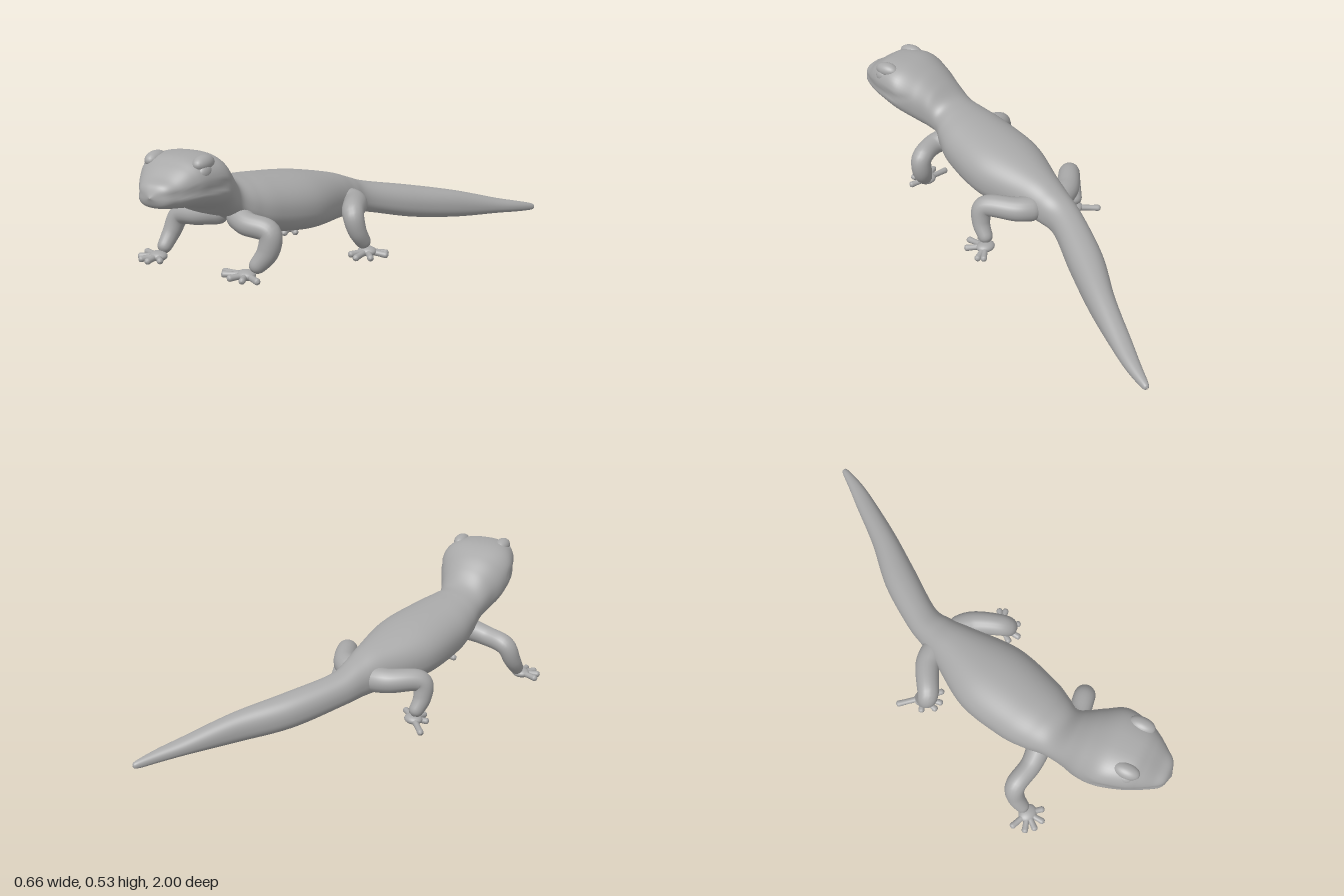
import * as THREE from 'three';
import { mergeVertices } from 'three/addons/utils/BufferGeometryUtils.js';

const skin = new THREE.MeshStandardMaterial({ color: 0xa8a8a8 });
skin.name = 'grey skin';

const V = (p) => new THREE.Vector3(...p);

function addMesh(parent, name, geometry) {
  const mesh = new THREE.Mesh(geometry, skin);
  mesh.name = name;
  parent.add(mesh);
  return mesh;
}

// Body sections from tail tip to nose: centre x, z, half width, top y, bottom y, yaw
const SECTIONS = [
  [0.265, -1, 0.002, 0.028, 0.026, -0.15],
  [0.262, -0.985, 0.014, 0.042, 0.014, -0.2],
  [0.243, -0.9, 0.028, 0.065, 0.018, -0.25],
  [0.213, -0.8, 0.039, 0.09, 0.025, -0.3],
  [0.147, -0.6, 0.053, 0.147, 0.033, -0.35],
  [0.065, -0.4, 0.07, 0.19, 0.055, -0.35],
  [0, -0.2, 0.068, 0.23, 0.1, -0.2],
  [-0.005, -0.1, 0.08, 0.265, 0.112, -0.05],
  [0, 0, 0.105, 0.3, 0.112, 0],
  [0.01, 0.2, 0.165, 0.345, 0.114, 0],
  [0.02, 0.4, 0.158, 0.37, 0.145, 0],
  [0.025, 0.5, 0.135, 0.38, 0.185, 0.05],
  [0.03, 0.57, 0.112, 0.395, 0.23, 0.15],
  [0.045, 0.63, 0.12, 0.45, 0.25, 0.3],
  [0.065, 0.69, 0.144, 0.495, 0.275, 0.37],
  [0.1, 0.76, 0.162, 0.526, 0.315, 0.37],
  [0.135, 0.85, 0.14, 0.526, 0.34, 0.37],
  [0.155, 0.9, 0.115, 0.502, 0.35, 0.37],
  [0.17, 0.945, 0.085, 0.468, 0.358, 0.37],
  [0.182, 0.98, 0.055, 0.446, 0.37, 0.37],
  [0.187, 0.998, 0.002, 0.407, 0.405, 0.37],
];

// Loft of rounded, flat-bellied rings with a mouth groove in the muzzle
function bodyGeometry(rows = 160, cols = 56) {
  const plan = new THREE.CatmullRomCurve3(SECTIONS.map((s) => V([s[0], s[1], s[2]])), false, 'catmullrom', 0.5);
  const side = new THREE.CatmullRomCurve3(SECTIONS.map((s) => V([s[3], s[4], s[5]])), false, 'catmullrom', 0.5);
  const soft = (v, e) => Math.sign(v) * Math.abs(v) ** e;
  const positions = [], index = [];
  for (let i = 0; i <= rows; i++) {
    const { x: cx, y: cz, z: half } = plan.getPoint(i / rows);
    const { x: top, y: bottom, z: yaw } = side.getPoint(i / rows);
    const mid = bottom + (top - bottom) * 0.46;
    const head = THREE.MathUtils.smoothstep(cz, 0.68, 0.8);
    for (let j = 0; j < cols; j++) {
      const a = (j / cols) * Math.PI * 2, s = Math.sin(a);
      const e = s < 0 ? 0.8 : 0.95 - 0.2 * head;
      const y = mid + soft(s, e) * (s > 0 ? top - mid : mid - bottom);
      const groove = 1 - 0.06 * head * Math.exp(-(((y - 0.415) / 0.011) ** 2));
      const w = soft(Math.cos(a), e) * Math.max(half, 0.001) * groove;
      positions.push(cx + w * Math.cos(yaw), y, cz - w * Math.sin(yaw));
      if (i < rows) {
        const k = (j + 1) % cols, p = i * cols, q = p + cols;
        index.push(p + j, p + k, q + j, p + k, q + k, q + j);
      }
    }
  }
  const g = new THREE.BufferGeometry();
  g.setAttribute('position', new THREE.Float32BufferAttribute(positions, 3));
  g.setIndex(index);
  g.computeVertexNormals();
  return g;
}

// Round-ended tube through points of [x, y, z, radius]
function limbGeometry(points, rows, cols) {
  const curve = new THREE.CatmullRomCurve3(points.map((p) => V(p.slice(0, 3))));
  const radii = new THREE.CatmullRomCurve3(points.map((p, i) => new THREE.Vector3(i, p[3], 0)));
  const length = curve.getLength();
  let g = new THREE.TubeGeometry(curve, rows, 1, cols, false);
  const pos = g.attributes.position, v = new THREE.Vector3();
  for (let i = 0; i <= rows; i++) {
    const u = i / rows, c = curve.getPointAt(u);
    const r = radii.getPoint(curve.getUtoTmapping(u)).y;
    const d = Math.min(1, (Math.min(u, 1 - u) * length) / r);
    const scale = r * Math.max(0.002, Math.sqrt(1 - (1 - d) ** 2));
    for (let j = 0; j <= cols; j++) {
      const n = i * (cols + 1) + j;
      v.fromBufferAttribute(pos, n).sub(c).multiplyScalar(scale).add(c);
      pos.setXYZ(n, v.x, v.y, v.z);
    }
  }
  g.deleteAttribute('uv');
  g.deleteAttribute('normal');
  g = mergeVertices(g, 1e-6);
  g.computeVertexNormals();
  return g;
}

function ellipsoid(parent, name, at, size, yaw = 0) {
  const mesh = addMesh(parent, name, new THREE.SphereGeometry(1, 24, 16));
  mesh.position.set(...at);
  mesh.scale.set(...size);
  mesh.rotation.y = yaw;
}

// Leg paths run from the body to the ankle; toes are tip positions
const LEGS = {
  frontRightLeg: {
    path: [[0, 0.24, 0.52, 0.055], [-0.12, 0.208, 0.57, 0.043], [-0.222, 0.185, 0.585, 0.041],
      [-0.242, 0.12, 0.61, 0.036], [-0.237, 0.045, 0.665, 0.026]],
    palm: [-0.238, 0.036, 0.68],
    toes: [[-0.33, 0.034, 0.675], [-0.305, 0.03, 0.73], [-0.265, 0.03, 0.755], [-0.215, 0.03, 0.755], [-0.175, 0.032, 0.715]],
  },
  frontLeftLeg: {
    path: [[0.05, 0.24, 0.52, 0.055], [0.15, 0.222, 0.55, 0.045], [0.238, 0.2, 0.515, 0.043],
      [0.237, 0.13, 0.52, 0.042], [0.195, 0.05, 0.565, 0.028]],
    palm: [0.18, 0.038, 0.58],
    toes: [[0.065, 0.03, 0.6], [0.105, 0.036, 0.64], [0.16, 0.034, 0.655], [0.225, 0.034, 0.64], [0.265, 0.03, 0.59]],
  },
  hindRightLeg: {
    path: [[-0.02, 0.18, -0.06, 0.055], [-0.12, 0.188, -0.03, 0.05], [-0.215, 0.182, 0.07, 0.043],
      [-0.225, 0.12, 0.065, 0.037], [-0.215, 0.045, 0.02, 0.027]],
    palm: [-0.21, 0.03, 0.03],
    toes: [[-0.31, 0.018, -0.03], [-0.26, 0.02, 0.07], [-0.205, 0.022, 0.11], [-0.165, 0.024, 0.105], [-0.125, 0.03, 0.07]],
  },
  hindLeftLeg: {
    path: [[0.03, 0.18, -0.06, 0.055], [0.12, 0.19, -0.03, 0.05], [0.22, 0.185, 0.075, 0.043],
      [0.238, 0.12, 0.07, 0.037], [0.24, 0.045, 0.02, 0.027]],
    palm: [0.25, 0.03, 0.025],
    toes: [[0.305, 0.02, -0.04], [0.325, 0.018, -0.018], [0.322, 0.022, 0.075], [0.275, 0.022, 0.12], [0.225, 0.024, 0.105]],
  },
};

function addLeg(parent, name, { path, palm, toes }) {
  const leg = new THREE.Group();
  leg.name = name;
  addMesh(leg, 'limb', limbGeometry(path, 48, 20));
  ellipsoid(leg, 'palm', palm, [0.04, 0.02, 0.034]);
  // Toes with slightly swollen pads
  for (const tip of toes) {
    const mid = palm.map((c, i) => c + (tip[i] - c) * 0.55);
    addMesh(leg, 'toe', limbGeometry([[...palm, 0.014], [...mid, 0.012], [...tip, 0.014]], 24, 12));
  }
  parent.add(leg);
}

export function createModel() {
  const lizard = new THREE.Group();
  lizard.name = 'lizard';
  addMesh(lizard, 'body', bodyGeometry());

  // Bulging eyes under raised brows
  const yaw = 0.37;
  for (const [name, x, z] of [['left', 0.236, 0.8], ['right', 0.034, 0.88]]) {
    ellipsoid(lizard, name + 'Eye', [x, 0.474, z], [0.024, 0.03, 0.036], yaw);
    ellipsoid(lizard, name + 'Brow', [x + (0.137 - x) * 0.16, 0.502, z - 0.008], [0.032, 0.03, 0.054], yaw);
  }

  for (const [name, leg] of Object.entries(LEGS)) addLeg(lizard, name, leg);
  return lizard;
}
